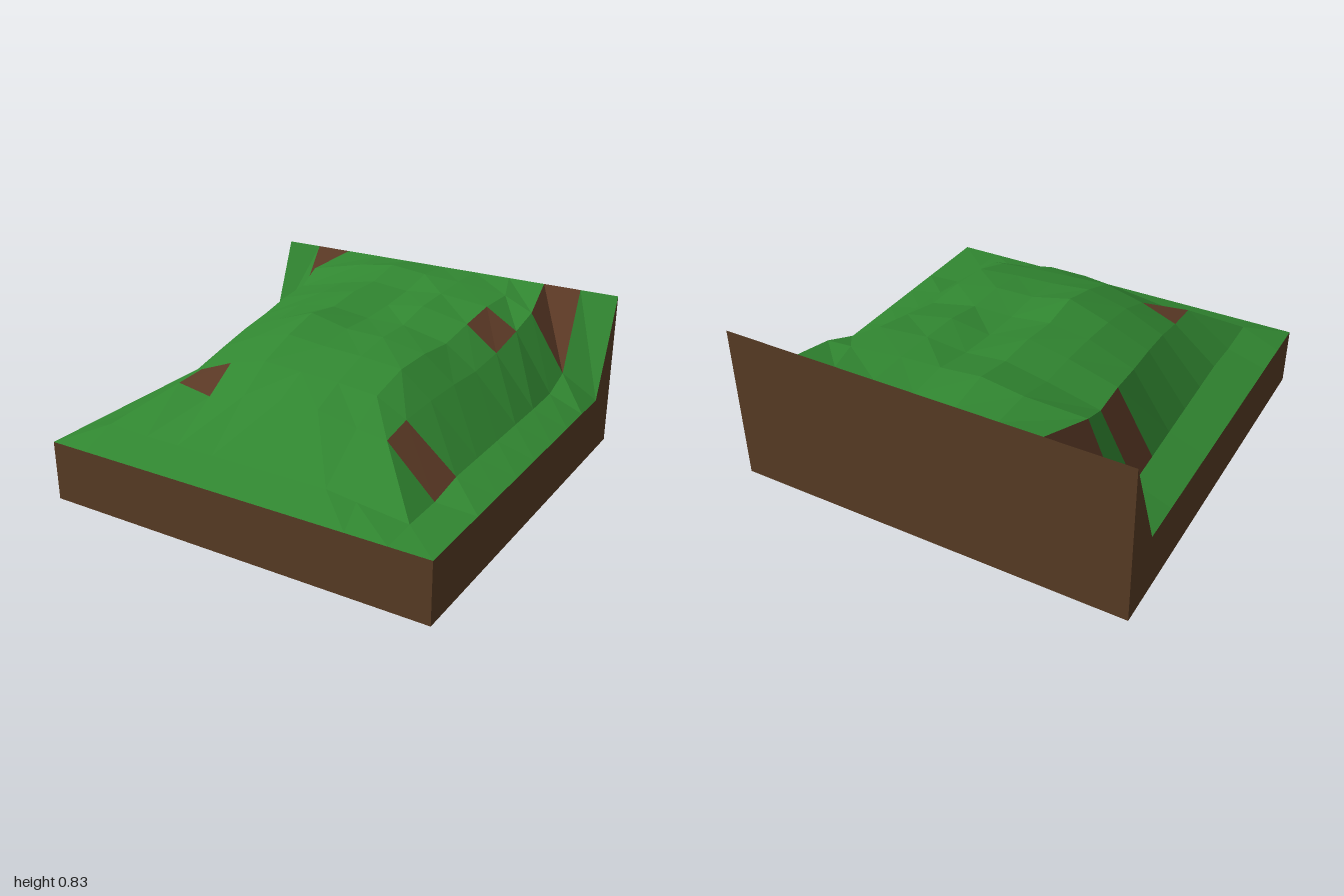
import * as THREE from 'three';

// Hill heights inside the tile border: rows run back to front, columns right to left side (-x to +x)
const HEIGHTS = [
  [0.38, 0.75, 0.80, 0.83, 0.81, 0.80, 0.77, 0.72, 0.43],
  [0.37, 0.69, 0.75, 0.79, 0.77, 0.79, 0.765, 0.665, 0.37],
  [0.37, 0.68, 0.75, 0.79, 0.75, 0.78, 0.73, 0.61, 0.36],
  [0.37, 0.65, 0.74, 0.765, 0.74, 0.74, 0.69, 0.58, 0.355],
  [0.37, 0.63, 0.72, 0.79, 0.745, 0.74, 0.70, 0.58, 0.35],
  [0.37, 0.60, 0.69, 0.74, 0.72, 0.71, 0.69, 0.57, 0.345],
  [0.37, 0.55, 0.62, 0.67, 0.66, 0.65, 0.63, 0.55, 0.34],
  [0.36, 0.54, 0.51, 0.56, 0.58, 0.58, 0.54, 0.52, 0.31],
  [0.37, 0.36, 0.36, 0.36, 0.36, 0.36, 0.36, 0.34, 0.31],
];
// Column positions drift slightly from the back edge to the front edge
const BACK_X = [-1, -0.83, -0.67, -0.4, -0.2, 0, 0.2, 0.47, 0.64, 0.83, 1];
const FRONT_X = [-1, -0.8, -0.58, -0.4, -0.2, 0, 0.2, 0.4, 0.55, 0.8, 1];
const N = 10;
const LOW = 0.3;
const HIGH = 0.8;

// Cells of bare earth, as column,row
const BARE = new Set(['1,0', '8,0', '1,2', '7,2', '2,7', '8,7']);

// Grid point of the hill surface
function point(i, j) {
  if (j === 0) return [-1 + 0.2 * i, HIGH, -1];
  let z = -1 + 0.2 * j;
  if (j === N) return [-1 + 0.2 * i, LOW, 1];
  if (i === 0 || i === N) return [-1 + 0.2 * i, LOW, z];
  const x = THREE.MathUtils.lerp(BACK_X[i], FRONT_X[i], Math.min(1, (j - 1) / 6));
  if (j === 1 && Math.abs(x) > 0.5) z = -0.75;
  if (j === 8 && i > 1 && i < 9) z = 0.57;
  if (j === 9) z = 0.82;
  return [x, HEIGHTS[j - 1][i - 1], z];
}

// Collect the surface cells that pass a test into one faceted geometry
function cells(test) {
  const pos = [];
  for (let j = 0; j < N; j++) {
    for (let i = 0; i < N; i++) {
      if (!test(i, j)) continue;
      const a = point(i, j), b = point(i, j + 1), c = point(i + 1, j + 1), d = point(i + 1, j);
      // mirrored diagonals on the two halves
      if (i < N / 2) pos.push(...a, ...b, ...d, ...b, ...c, ...d);
      else pos.push(...a, ...b, ...c, ...a, ...c, ...d);
    }
  }
  const geo = new THREE.BufferGeometry();
  geo.setAttribute('position', new THREE.Float32BufferAttribute(pos, 3));
  geo.computeVertexNormals();
  return geo;
}

function material(name, color) {
  const m = new THREE.MeshStandardMaterial({ color, flatShading: true });
  m.name = name;
  return m;
}

// Earth block: side outline with a raised back, open on top, plus the underside
function earthGeometry() {
  const pos = [];
  const quad = (a, b, c, d) => pos.push(...a, ...b, ...c, ...a, ...c, ...d);
  quad([-1, 0, 1], [1, 0, 1], [1, LOW, 1], [-1, LOW, 1]);
  quad([1, 0, -1], [-1, 0, -1], [-1, HIGH, -1], [1, HIGH, -1]);
  quad([-1, 0, -1], [1, 0, -1], [1, 0, 1], [-1, 0, 1]);
  quad([1, 0, 1], [1, 0, -0.8], [1, LOW, -0.8], [1, LOW, 1]);
  quad([1, 0, -0.8], [1, 0, -1], [1, HIGH, -1], [1, LOW, -0.8]);
  quad([-1, 0, -0.8], [-1, 0, 1], [-1, LOW, 1], [-1, LOW, -0.8]);
  quad([-1, 0, -1], [-1, 0, -0.8], [-1, LOW, -0.8], [-1, HIGH, -1]);
  const geo = new THREE.BufferGeometry();
  geo.setAttribute('position', new THREE.Float32BufferAttribute(pos, 3));
  geo.computeVertexNormals();
  return geo;
}

export function createModel() {
  const group = new THREE.Group();
  group.name = 'hillTile';
  const add = (name, geo, mat) => {
    const mesh = new THREE.Mesh(geo, mat);
    mesh.name = name;
    group.add(mesh);
  };
  const isBare = (i, j) => BARE.has(`${i},${j}`);

  add('grassSurface', cells((i, j) => !isBare(i, j)), material('grass green', 0x318731));
  add('bareEarthPatches', cells(isBare), material('patch brown', 0x5c3a26));
  add('earthBase', earthGeometry(), material('earth brown', 0x583c24));
  return group;
}
